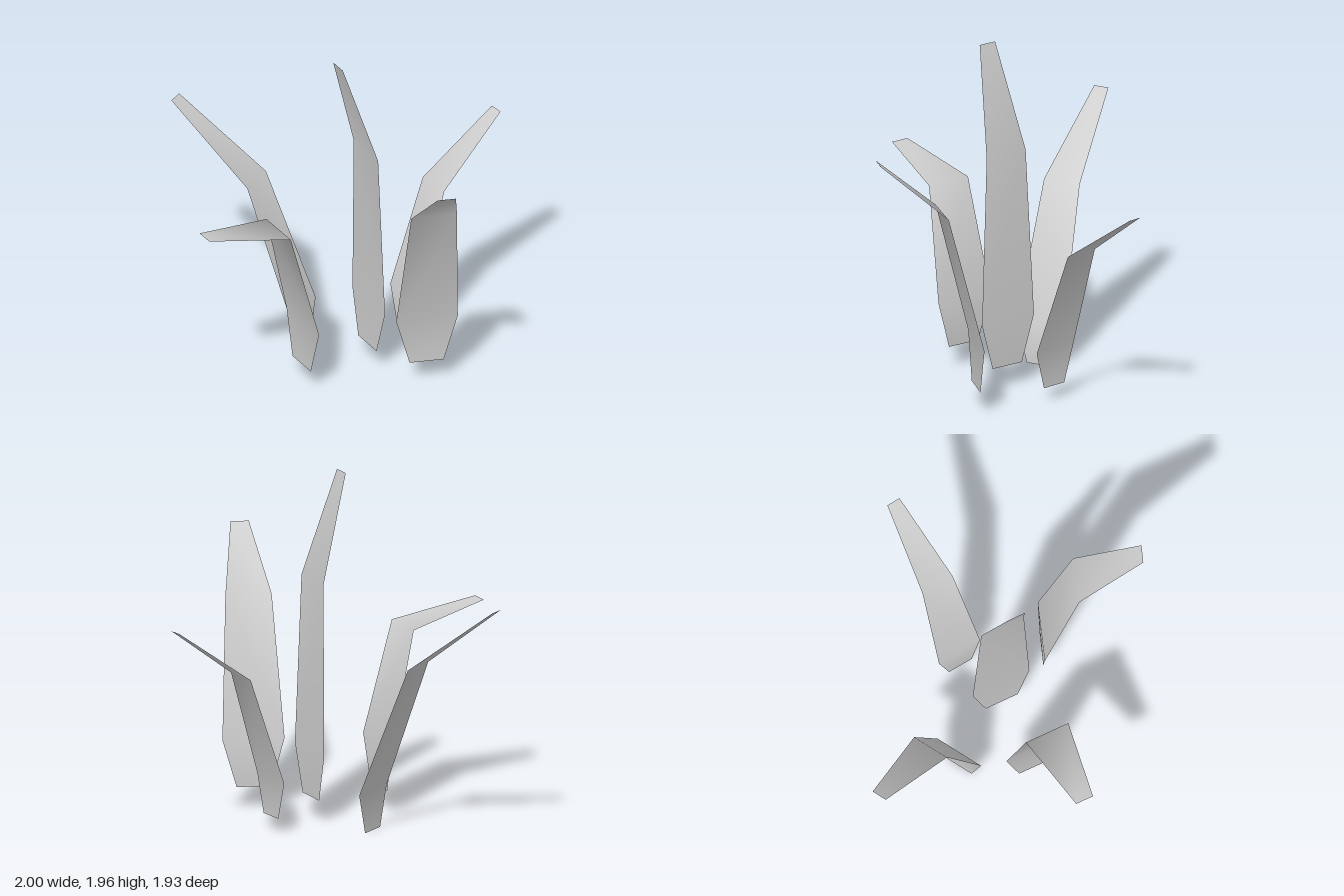
import * as THREE from 'three';

const material = new THREE.MeshStandardMaterial({ color: 0xcccccc, side: THREE.DoubleSide });

// A thin blade skinned through cross-sections [xA, zA, xB, zB, y], from base to tip.
function makeLeaf(name, sections) {
  const positions = [];
  const index = [];
  sections.forEach(([xA, zA, xB, zB, y], i) => {
    positions.push(xA, y, zA, xB, y, zB);
    if (i === 0) return;
    const a = (i - 1) * 2;
    index.push(a, a + 1, a + 3, a, a + 3, a + 2);
  });
  const geometry = new THREE.BufferGeometry();
  geometry.setAttribute('position', new THREE.Float32BufferAttribute(positions, 3));
  geometry.setIndex(index);
  geometry.computeVertexNormals();
  const mesh = new THREE.Mesh(geometry, material);
  mesh.name = name;
  return mesh;
}

// Each leaf: base, widest point, bend, tip.
const leaves = {
  frontLeaf: [
    [0.135, 0.39, 0.315, 0.455, 0.13],
    [0.065, 0.365, 0.39, 0.48, 0.4],
    [0.04, 0.565, 0.285, 0.645, 1.17],
    [-0.01, 0.93, 0.085, 0.965, 1.49],
  ],
  backLeaf: [
    [-0.085, -0.3, -0.22, -0.22, 0],
    [-0.03, -0.335, -0.277, -0.19, 0.23],
    [-0.21, -0.565, -0.395, -0.455, 0.975],
    [-0.522, -0.97, -0.597, -0.927, 1.36],
  ],
  leftLeaf: [
    [0.355, 0.06, 0.34, -0.085, 0.085],
    [0.365, 0.115, 0.337, -0.148, 0.3],
    [0.565, 0.045, 0.545, -0.148, 0.915],
    [0.997, -0.07, 0.987, -0.148, 1.235],
  ],
  centreLeaf: [
    [0.045, 0.19, 0.045, -0.005, 0.13],
    [0.053, 0.265, 0.053, -0.08, 0.4],
    [0.035, 0.222, 0.035, -0.037, 1.365],
    [-0.145, 0.145, -0.145, 0.043, 1.96],
  ],
  rightLeaf: [
    [-0.377, 0.19, -0.377, -0.005, 0.13],
    [-0.37, 0.265, -0.37, -0.08, 0.4],
    [-0.525, 0.222, -0.525, -0.037, 1.035],
    [-1, 0.143, -1, 0.04, 1.13],
  ],
};

export function createModel() {
  const plant = new THREE.Group();
  plant.name = 'leafCluster';
  for (const [name, sections] of Object.entries(leaves)) plant.add(makeLeaf(name, sections));
  return plant;
}
